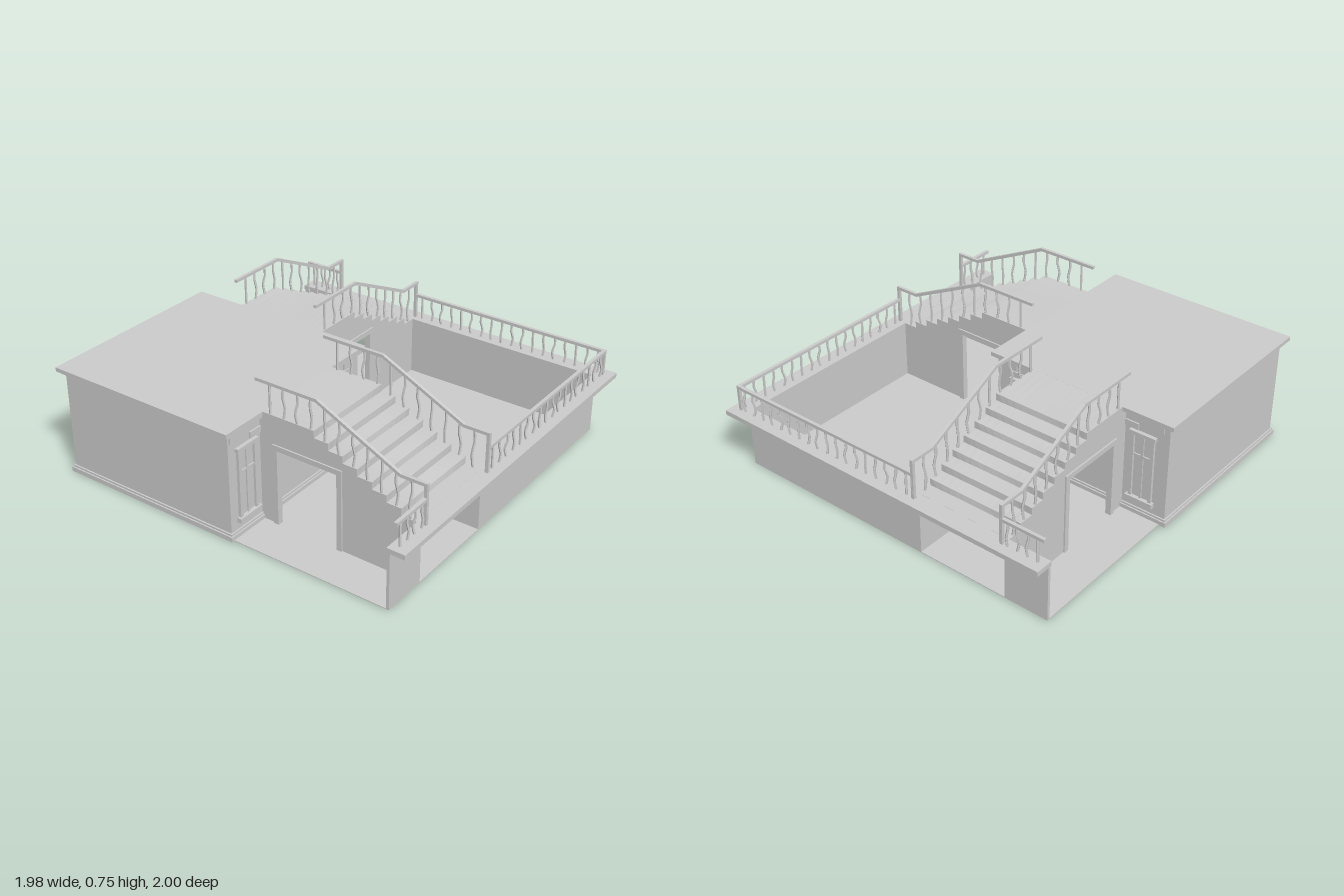
import * as THREE from 'three';
import { mergeGeometries, mergeVertices } from 'three/addons/utils/BufferGeometryUtils.js';

const material = new THREE.MeshStandardMaterial({ color: 0xcccccc, flatShading: true });

// box from its min and max corners
function box(x0, x1, y0, y1, z0, z1) {
  return new THREE.BoxGeometry(x1 - x0, y1 - y0, z1 - z0)
    .translate((x0 + x1) / 2, (y0 + y1) / 2, (z0 + z1) / 2);
}

function addPart(group, name, geometries) {
  const plain = geometries.map((g) => (g.index ? g.toNonIndexed() : g));
  const mesh = new THREE.Mesh(mergeGeometries(plain), material);
  mesh.name = name;
  group.add(mesh);
}

// square bar between two points lying in one upright plane
function bar(a, b, size = 0.016) {
  const d = b.clone().sub(a);
  const g = new THREE.BoxGeometry(size, size, d.length() + size * 0.5);
  const q = new THREE.Quaternion().setFromRotationMatrix(
    new THREE.Matrix4().lookAt(b, a, new THREE.Vector3(0, 1, 0)));
  return g.applyQuaternion(q).translate((a.x + b.x) / 2, (a.y + b.y) / 2, (a.z + b.z) / 2);
}

// slightly bent iron baluster
function baluster(x, z, y0, y1, n) {
  const bend = 0.006 * Math.sin(n * 2.3);
  const h = y1 - y0;
  const curve = new THREE.CatmullRomCurve3([
    new THREE.Vector3(x, y0, z),
    new THREE.Vector3(x + bend, y0 + h * 0.35, z + bend),
    new THREE.Vector3(x - bend * 0.5, y0 + h * 0.7, z - bend * 0.5),
    new THREE.Vector3(x, y1, z),
  ]);
  return new THREE.TubeGeometry(curve, 6, 0.0065, 5);
}

// stair layout: y of the surface at z
const STEP_Z = 0.355, TREAD = 0.0785, RISERS = 7, TOP = 0.585, GROUND = 0.325;
const RISE = (TOP - GROUND) / RISERS;
function stairHeight(z) {
  if (z < STEP_Z) return TOP;
  return Math.max(GROUND, TOP - RISE * (Math.floor((z - STEP_Z) / TREAD) + 1));
}

// wall below one side of the stairs, with a passage opening
function stairWall(x0) {
  const s = new THREE.Shape();
  const end = 0.915;
  s.moveTo(0.03, 0);
  s.lineTo(0.145, 0);
  s.lineTo(0.145, 0.41);
  s.lineTo(0.485, 0.41);
  s.lineTo(0.485, 0);
  s.lineTo(end, 0);
  s.lineTo(end, GROUND);
  for (let i = RISERS - 1; i >= 0; i--) {
    const z = STEP_Z + i * TREAD;
    s.lineTo(z, TOP - RISE * (i + 1));
    s.lineTo(z, TOP - RISE * i);
  }
  s.lineTo(0.03, TOP);
  return new THREE.ExtrudeGeometry(s, { depth: 0.015, bevelEnabled: false })
    .rotateY(-Math.PI / 2).translate(x0 + 0.015, 0, 0);
}

// tread with a worn, hollowed nose
function tread(z0, z1, y, worn) {
  const x0 = -0.72, x1 = -0.225, h = 0.06;
  const g = new THREE.BoxGeometry(x1 - x0, h, z1 - z0, 12, 1, 1);
  const p = g.attributes.position;
  for (let i = 0; i < p.count; i++) {
    if (p.getY(i) > 0 && p.getZ(i) > 0) {
      const t = p.getX(i) / ((x1 - x0) / 2);
      p.setY(i, p.getY(i) - worn * (1 - t * t));
      p.setZ(i, p.getZ(i) - worn * (1 - t * t));
    }
  }
  return g.translate((x0 + x1) / 2, y - h / 2, (z0 + z1) / 2);
}

// window with frame, crossbars and sill on the courtyard face
function windowParts(cx, face) {
  const y0 = 0.1, y1 = 0.45, w = 0.065;
  const parts = [
    box(cx - w - 0.012, cx + w + 0.012, y0 - 0.025, y0, face, face + 0.025),
    box(cx - w - 0.008, cx + w + 0.008, y1, y1 + 0.02, face, face + 0.02),
    box(cx - 0.007, cx + 0.007, y0, y1, face, face + 0.01),
    box(cx - w, cx + w, 0.33, 0.342, face, face + 0.01),
    box(cx - w, cx + w, y0, y1, face, face + 0.003),
  ];
  for (const s of [-1, 1]) {
    const x = cx + s * (w - 0.009);
    parts.push(box(x - 0.009, x + 0.009, y0, y1, face, face + 0.015));
  }
  return parts;
}

// one street side: retaining wall, ledge, stairs, railings, windows
function createWing() {
  const wing = new THREE.Group();
  addPart(wing, 'retainingWall', [
    box(-0.96, -0.72, 0, 0.3, 0.905, 0.92),
    box(-0.225, 0.905, 0, 0.3, 0.905, 0.92),
  ]);
  addPart(wing, 'streetLedge', [box(-0.965, 0.985, 0.3, GROUND, 0.905, 1)]);

  const treads = [tread(0.066, STEP_Z, TOP, 0.008)];
  for (let i = 0; i < RISERS; i++) {
    const z = STEP_Z + i * TREAD;
    treads.push(tread(z - 0.01, z + TREAD, TOP - RISE * (i + 1), i === RISERS - 1 ? 0 : 0.006 + 0.004 * (i % 2)));
  }
  addPart(wing, 'stairTreads', treads);
  addPart(wing, 'stairWalls', [stairWall(-0.735), stairWall(-0.225)]);

  // trims around the passage openings, on both sides of each wall
  const trims = [];
  for (const x of [-0.735, -0.225]) {
    const a = x - 0.008, b = x + 0.023;
    trims.push(box(a, b, 0, 0.435, 0.12, 0.147), box(a, b, 0, 0.435, 0.483, 0.51), box(a, b, 0.408, 0.435, 0.12, 0.51));
  }
  addPart(wing, 'passageTrim', trims);

  // stair handrails
  const rails = [], bars = [];
  for (const x of [-0.7275, -0.2175]) {
    const path = [[0.03, 0.742], [0.365, 0.742], [0.815, 0.527], [0.95, 0.527]]
      .map(([z, y]) => new THREE.Vector3(x, y, z));
    for (let i = 0; i < 3; i++) rails.push(bar(path[i], path[i + 1]));
    for (let i = 0; i < 12; i++) {
      const z = 0.105 + i * 0.0765;
      const top = z < 0.365 ? 0.742 : z < 0.815 ? 0.742 - (z - 0.365) * 0.478 : 0.527;
      bars.push(baluster(x, z, stairHeight(z), top, i));
    }
    rails.push(box(x - 0.008, x + 0.008, GROUND, 0.535, 0.937, 0.953));
  }
  addPart(wing, 'stairHandrails', rails);
  addPart(wing, 'stairBalusters', bars);

  // ledge railing on both sides of the stairs
  const ledgeRails = [], ledgeBars = [];
  for (const [x0, x1, n] of [[-0.96, -0.73, 4], [-0.215, 0.93, 18]]) {
    ledgeRails.push(box(x0, x1 + 0.008, 0.448, 0.464, 0.936, 0.954));
    for (let i = 0; i < n; i++) {
      const x = x0 + 0.01 + (x1 - x0 - 0.01) * (i + 0.5) / n;
      ledgeBars.push(baluster(x, 0.945, GROUND, 0.455, i));
    }
  }
  ledgeRails.push(box(0.922, 0.938, GROUND, 0.46, 0.937, 0.953));
  addPart(wing, 'ledgeRail', ledgeRails);
  addPart(wing, 'ledgeBalusters', ledgeBars);

  // windows and exposed wall blocks
  const face = 0.045;
  addPart(wing, 'windows', [...windowParts(-0.125, face), ...windowParts(-0.84, face)]);
  addPart(wing, 'wallBlocks', [
    [-0.09, -0.01, 0.51, 0.548], [-0.13, -0.05, 0.475, 0.505],
    [-0.95, -0.87, 0.51, 0.545], [-0.81, -0.735, 0.475, 0.508],
  ].map(([a, b, c, d]) => box(a, b, c, d, face - 0.01, face + 0.008)));
  return wing;
}

// the same wing reflected over the diagonal, with corner order reversed
function mirrorWing(wing) {
  const m = new THREE.Matrix4().set(0, 0, 1, -0.015, 0, 1, 0, 0, 1, 0, 0, 0.015, 0, 0, 0, 1);
  const out = new THREE.Group();
  for (const part of wing.children) {
    const g = mergeVertices(part.geometry.clone().applyMatrix4(m));
    const idx = g.index.array;
    for (let i = 0; i < idx.length; i += 3) [idx[i + 1], idx[i + 2]] = [idx[i + 2], idx[i + 1]];
    g.computeVertexNormals();
    const mesh = new THREE.Mesh(g, material);
    mesh.name = part.name;
    out.add(mesh);
  }
  return out;
}

export function createModel() {
  const model = new THREE.Group();
  model.name = 'sunkenCourtyard';
  addPart(model, 'courtyardFloor', [box(-0.96, 0.905, 0, 0.004, -0.945, 0.92)]);
  addPart(model, 'houseWalls', [box(-0.96, 0.03, 0.002, 0.57, -0.965, 0.045)]);
  addPart(model, 'housePlinth', [
    box(-0.975, 0.045, 0, 0.025, -0.98, 0.06),
    box(-0.968, 0.038, 0.025, 0.035, -0.973, 0.053),
  ]);
  addPart(model, 'flatRoof', [
    box(-0.99, 0.063, 0.563, TOP, -1, 0.066),
    box(-0.975, 0.047, 0.55, 0.563, -0.982, 0.06),
  ]);

  const front = createWing();
  front.name = 'frontWing';
  const side = mirrorWing(front);
  side.name = 'leftWing';
  model.add(front, side);
  return model;
}
